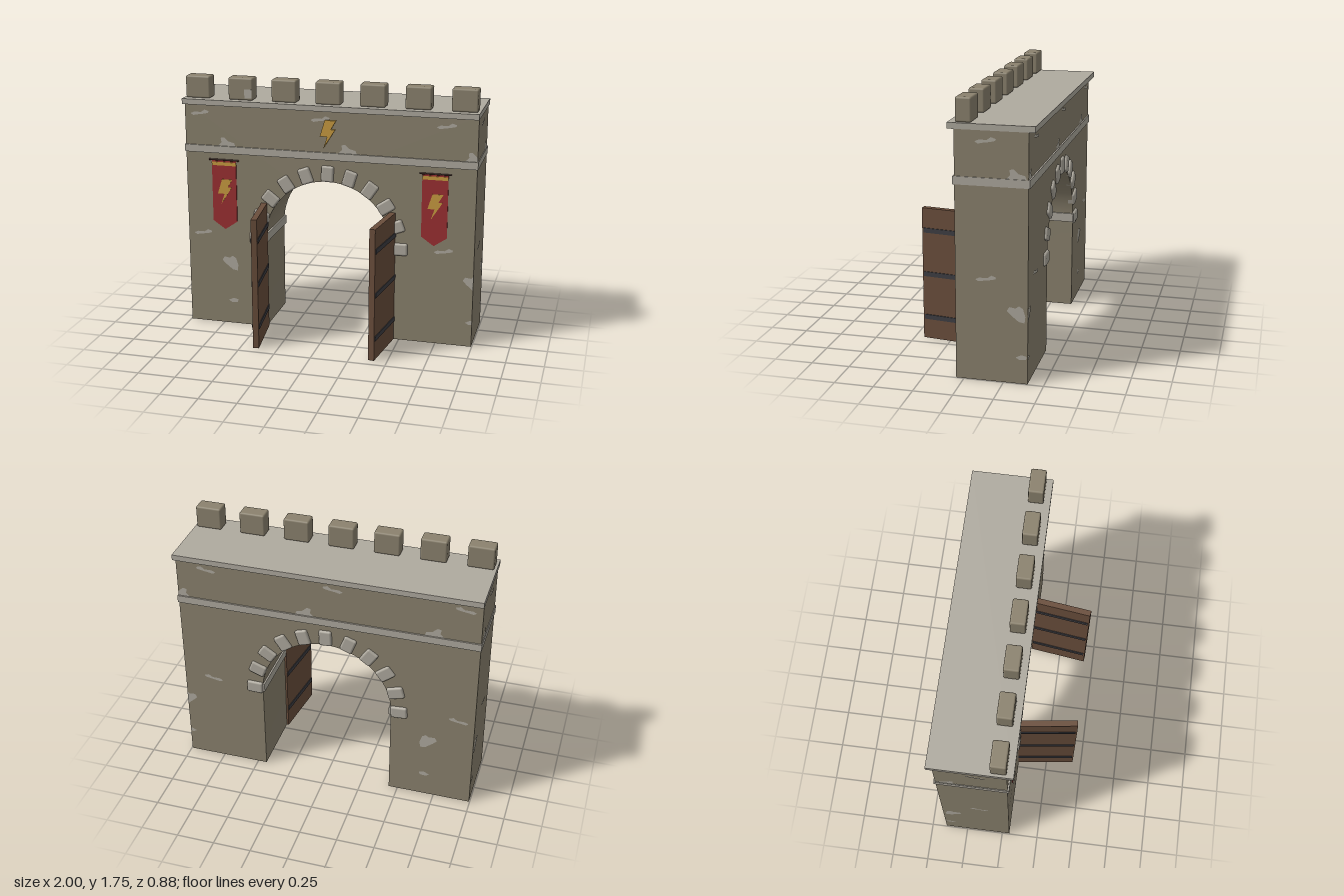
import * as THREE from 'three';
import { toCreasedNormals } from 'three/addons/utils/BufferGeometryUtils.js';
import { RoundedBoxGeometry } from 'three/addons/geometries/RoundedBoxGeometry.js';

const mat = (name, color, side = THREE.FrontSide) => {
  const m = new THREE.MeshStandardMaterial({ color, side });
  m.name = name;
  return m;
};

const FRONT = 0.05, BACK = -0.4;            // wall faces
const HALF = 0.995;                         // wall half width
const ARCH_Y = 0.64, ARCH_R = 0.44;         // arch springing and radius

export function createModel() {
  const stone = mat('wall stone', 0x8b826e);
  const pale = mat('pale stone', 0xafaa9f);
  const wood = mat('door wood', 0x6a4e3c);
  const iron = mat('iron', 0x3d3d42);
  const red = mat('banner red', 0x9c3032);
  const gold = mat('gold', 0xc99c40);
  const rodWood = mat('rod wood', 0x40261f);

  const root = new THREE.Group();
  root.name = 'gatehouse';

  const add = (parent, name, geo, material, x = 0, y = 0, z = 0) => {
    const m = new THREE.Mesh(geo, material);
    m.name = name;
    m.position.set(x, y, z);
    parent.add(m);
    return m;
  };
  const group = (parent, name) => {
    const g = new THREE.Group();
    g.name = name;
    parent.add(g);
    return g;
  };
  const polygon = (pts) => new THREE.Shape(pts.map(([x, y]) => new THREE.Vector2(x, y)));
  const plate = (pts, depth) =>
    new THREE.ExtrudeGeometry(polygon(pts), { depth, bevelEnabled: false });

  // Wall with arched passage
  const outline = new THREE.Shape();
  outline.moveTo(-HALF, 0);
  outline.lineTo(-ARCH_R, 0);
  outline.lineTo(-ARCH_R, ARCH_Y);
  outline.absarc(0, ARCH_Y, ARCH_R, Math.PI, 0, true);
  outline.lineTo(ARCH_R, 0);
  outline.lineTo(HALF, 0);
  outline.lineTo(HALF, 1.58);
  outline.lineTo(-HALF, 1.58);
  outline.closePath();
  const wallGeo = new THREE.ExtrudeGeometry(outline, {
    depth: FRONT - BACK, bevelEnabled: false, curveSegments: 24,
  });
  add(root, 'wall', toCreasedNormals(wallGeo, 0.5), stone, 0, 0, BACK);

  // String course and top slab
  add(root, 'stringCourse', new THREE.BoxGeometry(2, 0.05, 0.47), pale, 0, 1.255, -0.175);
  add(root, 'topSlab', new THREE.BoxGeometry(2, 0.037, 0.53), pale, 0, 1.5815, -0.175);

  // Merlons
  const merlons = group(root, 'merlons');
  const merlonGeo = new RoundedBoxGeometry(0.17, 0.15, 0.1, 2, 0.012);
  for (let i = -3; i <= 3; i++) add(merlons, 'merlon', merlonGeo, stone, i * 0.3, 1.675, -0.004);
  add(merlons, 'merlonPatch', new THREE.BoxGeometry(0.05, 0.06, 0.004), pale, -0.547, 1.645, 0.046);

  // Arch stones on both faces
  const archStones = group(root, 'archStones');
  const archGeo = new RoundedBoxGeometry(0.11, 0.085, 0.06, 2, 0.014);
  for (const z of [FRONT - 0.013, BACK + 0.013]) {
    for (let i = 0; i <= 10; i++) {
      const a = THREE.MathUtils.degToRad(1 + i * 17.8);
      const wobble = Math.sin(i * 2.3) * 0.05;
      add(archStones, 'archStone', archGeo, pale,
        Math.cos(a) * 0.495, ARCH_Y + Math.sin(a) * 0.495, z).rotation.z = a + wobble;
    }
  }

  // Imposts running through the passage, and the open doors
  for (const s of [-1, 1]) {
    const side = s > 0 ? 'left' : 'right';
    add(root, side + 'Impost', new THREE.BoxGeometry(0.05, 0.06, 0.46), pale,
      s * 0.452, 0.65, -0.175);

    const door = group(root, side + 'Door');
    door.position.set(s * 0.446, 0, 0.04);
    door.rotation.y = -s * 0.13;
    add(door, 'doorLeaf', new THREE.BoxGeometry(0.04, 0.9, 0.4), wood, 0, 0.45, 0.2);
    for (const y of [0.15, 0.45, 0.75]) {
      add(door, 'doorStrap', new THREE.BoxGeometry(0.05, 0.032, 0.385), iron, 0, y, 0.1975);
    }
  }

  // Bolt emblem, centred on its own origin
  const bolt = [[-0.016, 0.09], [0.06, 0.09], [0.025, 0.03], [0.055, 0.03],
    [-0.025, -0.098], [0, -0.02], [-0.05, -0.02]];
  add(root, 'wallEmblem', plate(bolt, 0.014), gold, 0, 1.41, FRONT);

  // Banners
  for (const s of [-1, 1]) {
    const banner = group(root, s > 0 ? 'leftBanner' : 'rightBanner');
    banner.position.set(s * 0.725, 0, FRONT);
    const cloth = [[-0.086, 1.18], [-0.086, 0.752], [0, 0.693], [0.086, 0.752], [0.086, 1.18]];
    add(banner, 'cloth', plate(cloth, 0.007), red);
    add(banner, 'stripe', new THREE.BoxGeometry(0.172, 0.024, 0.004), gold, 0, 1.157, 0.008);
    add(banner, 'bannerEmblem', plate(bolt, 0.003), gold, 0, 0.965, 0.007).scale.set(0.95, 0.93, 1);
    const rod = add(banner, 'rod', new THREE.CylinderGeometry(0.006, 0.006, 0.21, 8), rodWood,
      0, 1.184, 0.006);
    rod.rotation.z = Math.PI / 2;
  }

  // Worn pale patches, clipped at the wall edges
  const big = [[-0.055, 0.02], [-0.04, 0.045], [0.0, 0.04], [0.02, 0.055], [0.045, 0.04],
    [0.06, -0.01], [0.055, -0.05], [0.02, -0.045], [-0.03, -0.005]];
  const ledge = [[-0.065, -0.035], [0.06, -0.035], [0.05, -0.012], [0.01, -0.002],
    [-0.02, 0.025], [-0.045, 0.02], [-0.04, -0.01]];
  const streak = [[-0.065, 0], [-0.045, -0.012], [-0.01, -0.005], [0.025, 0.0], [0.06, 0.008],
    [0.065, 0.02], [0.035, 0.03], [0.01, 0.012], [-0.04, 0.012]];
  const chip = [[-0.035, 0], [-0.01, -0.015], [0.03, -0.01], [0.035, 0.01], [0, 0.018]];
  const broad = [
    [streak, -0.89, 1.495], [streak, -0.05, 1.495], [streak, 0.79, 1.495],
    [ledge, -0.7, 1.316], [ledge, 0.14, 1.316], [ledge, 0.98, 1.316],
    [streak, -0.89, 0.65], [streak, 0.79, 0.65],
    [big, -0.7, 0.445], [big, 0.98, 0.445], [chip, -0.68, 0.17], [chip, 0.985, 0.17],
  ];
  const narrow = [
    [streak, 0.14, 1.495], [ledge, 0.33, 1.316], [streak, 0.14, 0.65],
    [big, 0.325, 0.445], [chip, 0.36, 0.17],
  ];
  const addPatches = (name, list, mirror, min, max, pos, rotY) => {
    const g = group(root, name);
    g.position.set(...pos);
    g.rotation.y = rotY;
    for (const [pts, px, py] of list) {
      const placed = pts.map(([x, y]) =>
        [mirror * THREE.MathUtils.clamp(px + x, min, max), py + y]);
      add(g, 'wornPatch', new THREE.ShapeGeometry(polygon(placed)), pale);
    }
  };
  const E = 0.002;
  addPatches('frontPatches', broad, 1, -HALF, HALF, [0, 0, FRONT + E], 0);
  addPatches('backPatches', broad, -1, -HALF, HALF, [0, 0, BACK - E], Math.PI);
  addPatches('leftPatches', narrow, 1, -FRONT, -BACK, [HALF + E, 0, 0], Math.PI / 2);
  addPatches('rightPatches', narrow, -1, -FRONT, -BACK, [-HALF - E, 0, 0], -Math.PI / 2);

  return root;
}
